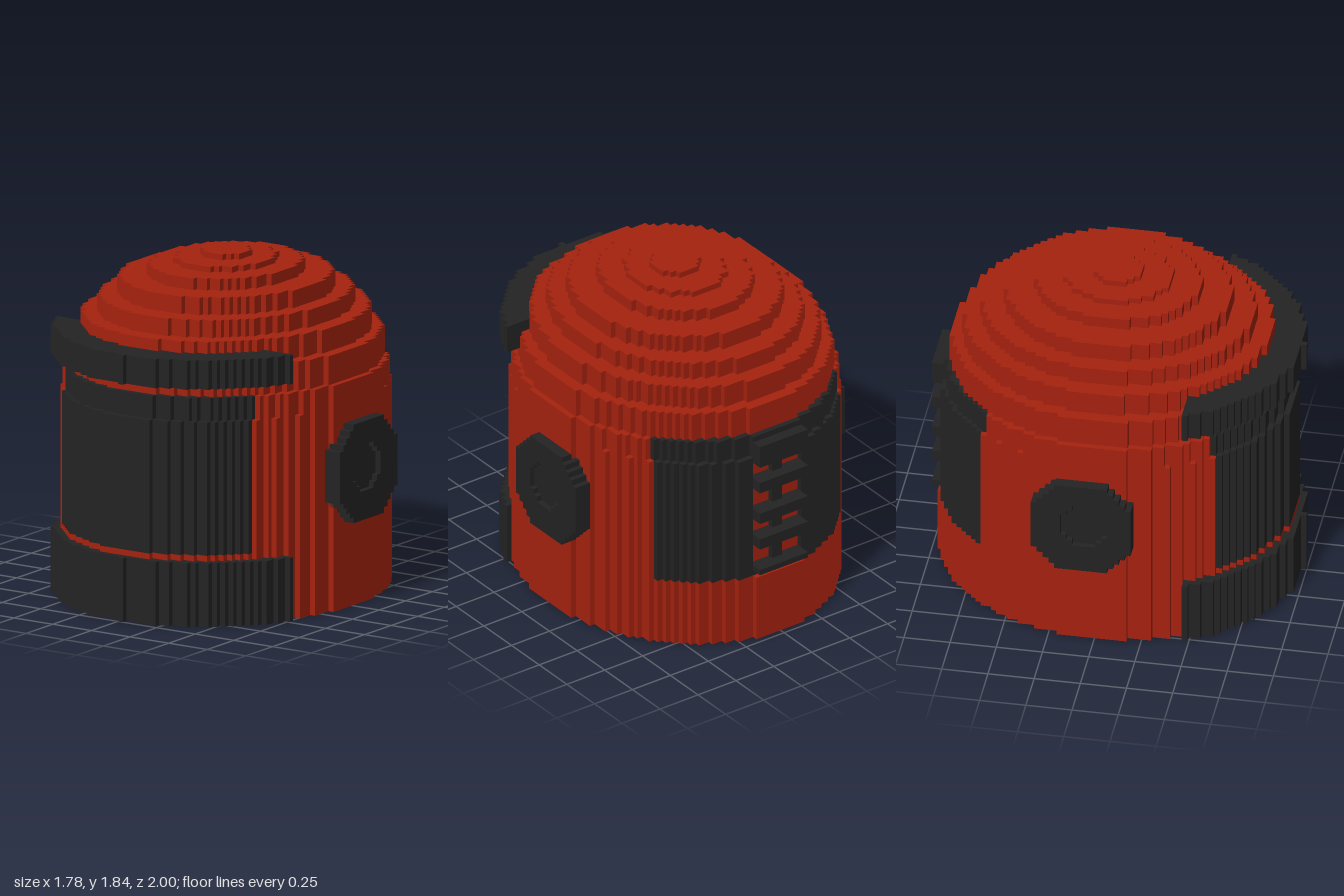
import * as THREE from 'three';
import { mergeGeometries } from 'three/addons/utils/BufferGeometryUtils.js';

const U = 2 / 63;        // voxel size
const Z0 = -U / 2;       // centre plane of the body

const red = new THREE.MeshStandardMaterial({ color: 0xa6220f });
red.name = 'shell red';
const dark = new THREE.MeshStandardMaterial({ color: 0x232323 });
dark.name = 'trim black';

// Box between voxel coordinates
function box(x0, x1, y0, y1, z0, z1) {
  const g = new THREE.BoxGeometry((x1 - x0) * U, (y1 - y0) * U, (z1 - z0) * U);
  g.translate((x0 + x1) / 2 * U, (y0 + y1) / 2 * U, (z0 + z1) / 2 * U + Z0);
  return g;
}

// Contiguous runs of cells in a 2D mask, as [row, start, end]
function runs(test) {
  const out = [];
  for (let i = -34; i < 34; i++) {
    let start = null;
    for (let k = -34; k <= 34; k++) {
      const inside = k < 34 && test(i + 0.5, k + 0.5);
      if (inside && start === null) start = k;
      if (!inside && start !== null) {
        out.push([i, start, k]);
        start = null;
      }
    }
  }
  return out;
}

// Horizontal slab of voxels: test(x, z) says which cells are filled
const slab = (y0, y1, test) => runs(test).map(([i, a, b]) => box(i, i + 1, y0, y1, a, b));

const ellipse = (rx, rz) => (x, z) => (x / rx) ** 2 + (z / rz) ** 2 < 1;

export function createModel() {
  const model = new THREE.Group();
  const add = (name, material, boxes) => {
    const mesh = new THREE.Mesh(mergeGeometries(boxes), material);
    mesh.name = name;
    model.add(mesh);
  };

  // Regions of the body wall
  const visor = (x, z) => Math.abs(x) < 19 && z > 19;
  const backPanel = (x, z) => Math.abs(x) < 19 && z < -19 && Math.abs(x) > 5;
  const ventHole = (x, z) => Math.abs(x) < 5 && z < -28;
  const main = ellipse(26, 30);
  const shoulder = ellipse(26, 29);
  const redWall = (shape) => (x, z) =>
    shape(x, z) && !visor(x, z) && !backPanel(x, z) && !ventHole(x, z);

  // Body
  add('body', red, [
    ...slab(0, 11, (x, z) => main(x, z) && z < 15),
    ...slab(11, 12, main),
    ...slab(12, 35, redWall(main)),
    ...slab(35, 39, redWall(shoulder)),
  ]);

  // Stepped dome: bottom, top, half width, half depth
  const steps = [
    [39, 44, 25, 28], [44, 48, 23, 26], [48, 51, 20, 23], [51, 54, 17, 19],
    [54, 56, 12, 14], [56, 57, 8, 9], [57, 58, 4, 4],
  ];
  add('dome', red, steps.flatMap(([y0, y1, rx, rz]) => slab(y0, y1, ellipse(rx, rz))));

  // Dark front and back panels set into the wall
  for (const [name, region] of [['visor', visor], ['backPanel', backPanel]]) {
    add(name, dark, [
      ...slab(12, 35, (x, z) => main(x, z) && region(x, z)),
      ...slab(35, 39, (x, z) => shoulder(x, z) && region(x, z)),
    ]);
  }

  // Brow and chin bands with a one-voxel nub at the front
  const bandShape = ellipse(27.5, 31.4);
  for (const [name, y0, y1] of [['chinBand', 0, 11], ['browBand', 41, 46]]) {
    add(name, dark, [
      ...slab(y0, y1, (x, z) => bandShape(x, z) && z > 15),
      box(0, 1, y0, y1, 31, 32),
    ]);
  }

  // Back vent: frame, centre post and protruding slats
  const slats = [[13, 14], [18, 20], [23, 25], [29, 31], [34, 38]];
  add('backVent', dark, [
    box(-1, 1, 12, 39, -29, -28),
    box(-5, 5, 12, 13, -29, -28),
    box(-5, 5, 38, 39, -29, -28),
    ...slats.map(([y0, y1]) => box(-5, 5, y0, y1, -31, -28)),
  ]);

  // Octagonal ear discs with a shallow round recess
  const octagon = (z, y) => {
    const a = Math.abs(z + 1.5), b = Math.abs(y - 23.5);
    return a < 8.5 && b < 8.5 && a + b < 12.5;
  };
  const recess = (z, y) => Math.hypot(z + 1, y - 24) < 4;
  for (const side of [1, -1]) {
    const plate = (x0, x1, test) => runs(test).map(([k, a, b]) =>
      box(Math.min(side * x0, side * x1), Math.max(side * x0, side * x1), a, b, k, k + 1));
    add(side > 0 ? 'leftEar' : 'rightEar', dark, [
      ...plate(25, 27, octagon),
      ...plate(27, 28, (z, y) => octagon(z, y) && !recess(z, y)),
    ]);
  }

  return model;
}
